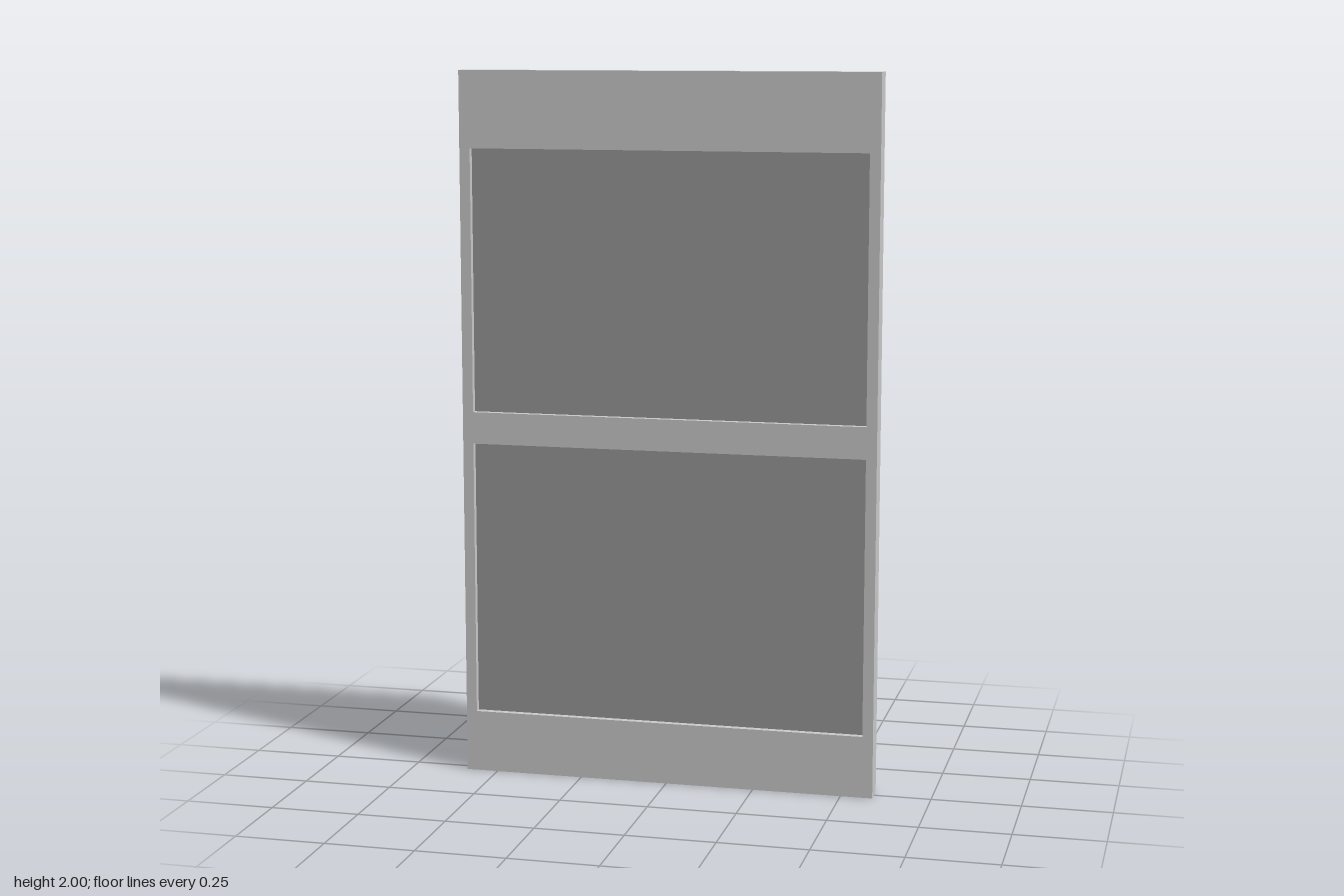
import * as THREE from 'three';

const WIDTH = 1.18, HEIGHT = 2, DEPTH = 0.062;
const OPENING_HALF = 0.56;
const OPENINGS = [
  { name: 'lowerPanel', bottom: 0.175, top: 0.955 },
  { name: 'upperPanel', bottom: 1.045, top: 1.785 },
];

// Traces a rectangle into a Shape or Path
function rect(path, halfWidth, bottom, top) {
  path.moveTo(-halfWidth, bottom);
  path.lineTo(halfWidth, bottom);
  path.lineTo(halfWidth, top);
  path.lineTo(-halfWidth, top);
  path.closePath();
  return path;
}

export function createModel() {
  const group = new THREE.Group();
  group.name = 'panelDoor';
  const frameMaterial = new THREE.MeshStandardMaterial({ color: 0xcccccc });
  const panelMaterial = new THREE.MeshStandardMaterial({ color: 0x999999 });

  // Frame: stiles and rails in one slab with two openings
  const outline = rect(new THREE.Shape(), WIDTH / 2, 0, HEIGHT);
  for (const o of OPENINGS) outline.holes.push(rect(new THREE.Path(), OPENING_HALF, o.bottom, o.top));
  const frameGeometry = new THREE.ExtrudeGeometry(outline, { depth: DEPTH, bevelEnabled: false });
  frameGeometry.translate(0, 0, -DEPTH / 2);
  const frame = new THREE.Mesh(frameGeometry, frameMaterial);
  frame.name = 'frame';
  group.add(frame);

  // Thin panels recessed from both faces
  for (const o of OPENINGS) {
    const panel = new THREE.Mesh(
      new THREE.BoxGeometry(OPENING_HALF * 2, o.top - o.bottom, 0.015), panelMaterial);
    panel.position.set(0, (o.top + o.bottom) / 2, 0.005);
    panel.name = o.name;
    group.add(panel);
  }
  return group;
}
